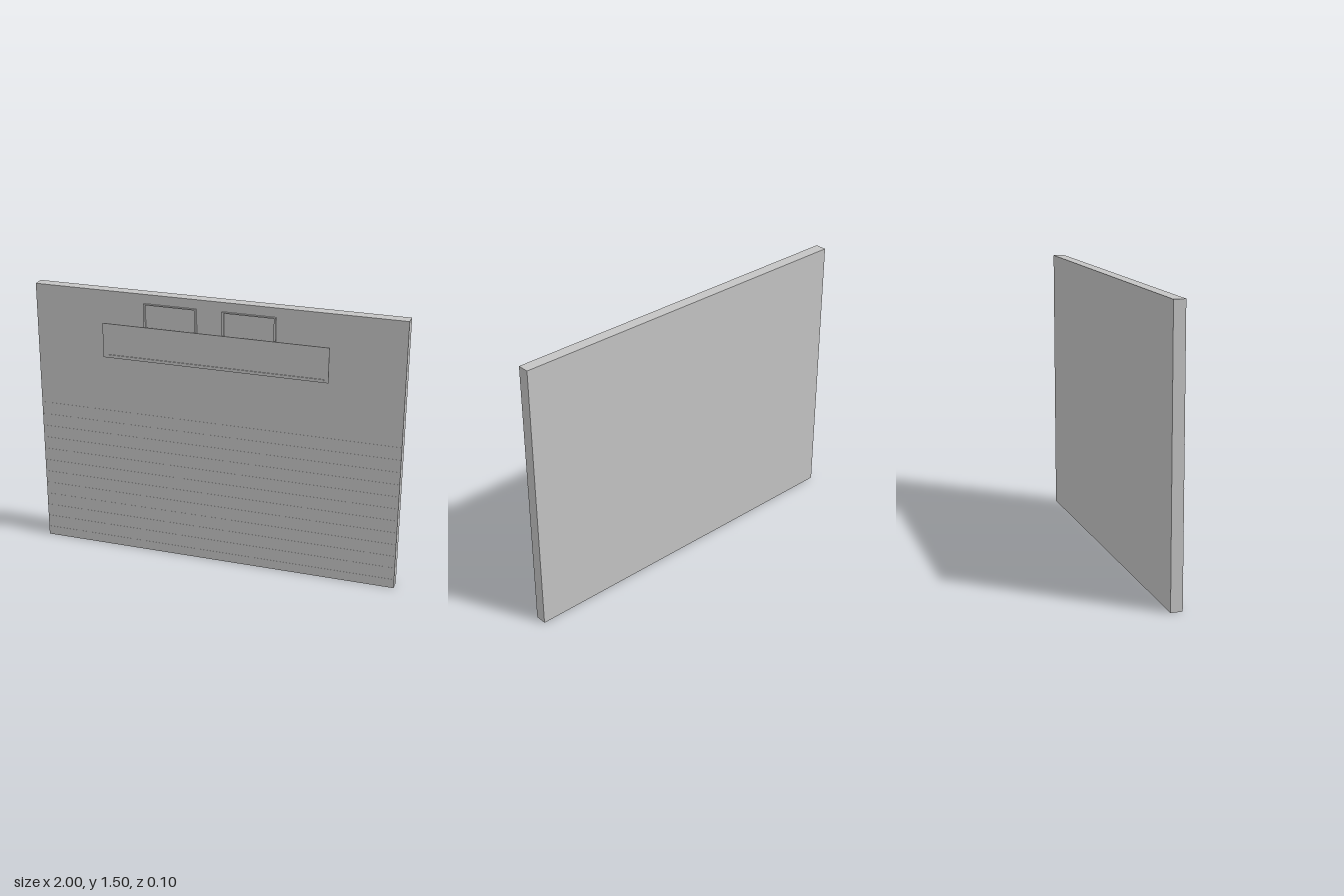
import * as THREE from 'three';

export function createModel() {
  const group = new THREE.Group();
  const grey = new THREE.MeshStandardMaterial({ color: 0xc4c4c4 });
  grey.name = 'lightGrey';

  // Box given by its extents along each axis
  function slab(name, x0, x1, y0, y1, z0, z1, parent = group) {
    const mesh = new THREE.Mesh(new THREE.BoxGeometry(x1 - x0, y1 - y0, z1 - z0), grey);
    mesh.position.set((x0 + x1) / 2, (y0 + y1) / 2, (z0 + z1) / 2);
    mesh.name = name;
    parent.add(mesh);
  }

  // Wall
  const face = 0.012;
  slab('wall', -1, 1, 0, 1.5, -0.05, face);

  // Fine horizontal seams over the lower wall
  const seams = new THREE.Group();
  seams.name = 'wallSeams';
  group.add(seams);
  for (let i = 0; i < 12; i++) {
    const y = 0.05 + i * 0.07;
    slab('seam', -1, 1, y - 0.002, y + 0.002, face - 0.002, face + 0.0008, seams);
  }

  // Two framed panels, partly behind the board
  function framedPanel(name, x0, x1) {
    const panel = new THREE.Group();
    panel.name = name;
    group.add(panel);
    const y0 = 1.25, y1 = 1.45, t = 0.01, rim = 0.006, front = 0.022;
    slab('frameSide', x0, x0 + t, y0, y1, face, front, panel);
    slab('frameSide', x1 - t, x1, y0, y1, face, front, panel);
    slab('frameTop', x0 + t, x1 - t, y1 - rim, y1, face, front, panel);
    slab('frameBottom', x0 + t, x1 - t, y0, y0 + rim, face, front, panel);
    slab('pane', x0 + t, x1 - t, y0 + rim, y1 - rim, face, front - 0.008, panel);
  }
  framedPanel('rightPanel', -0.39, -0.1);
  framedPanel('leftPanel', 0.038, 0.324);

  // Board standing clear of the wall, with a thin rail along its lower edge
  slab('board', -0.612, 0.612, 1.14, 1.33, 0.041, 0.046);
  slab('boardRail', -0.588, 0.588, 1.15, 1.158, 0.046, 0.05);

  return group;
}
